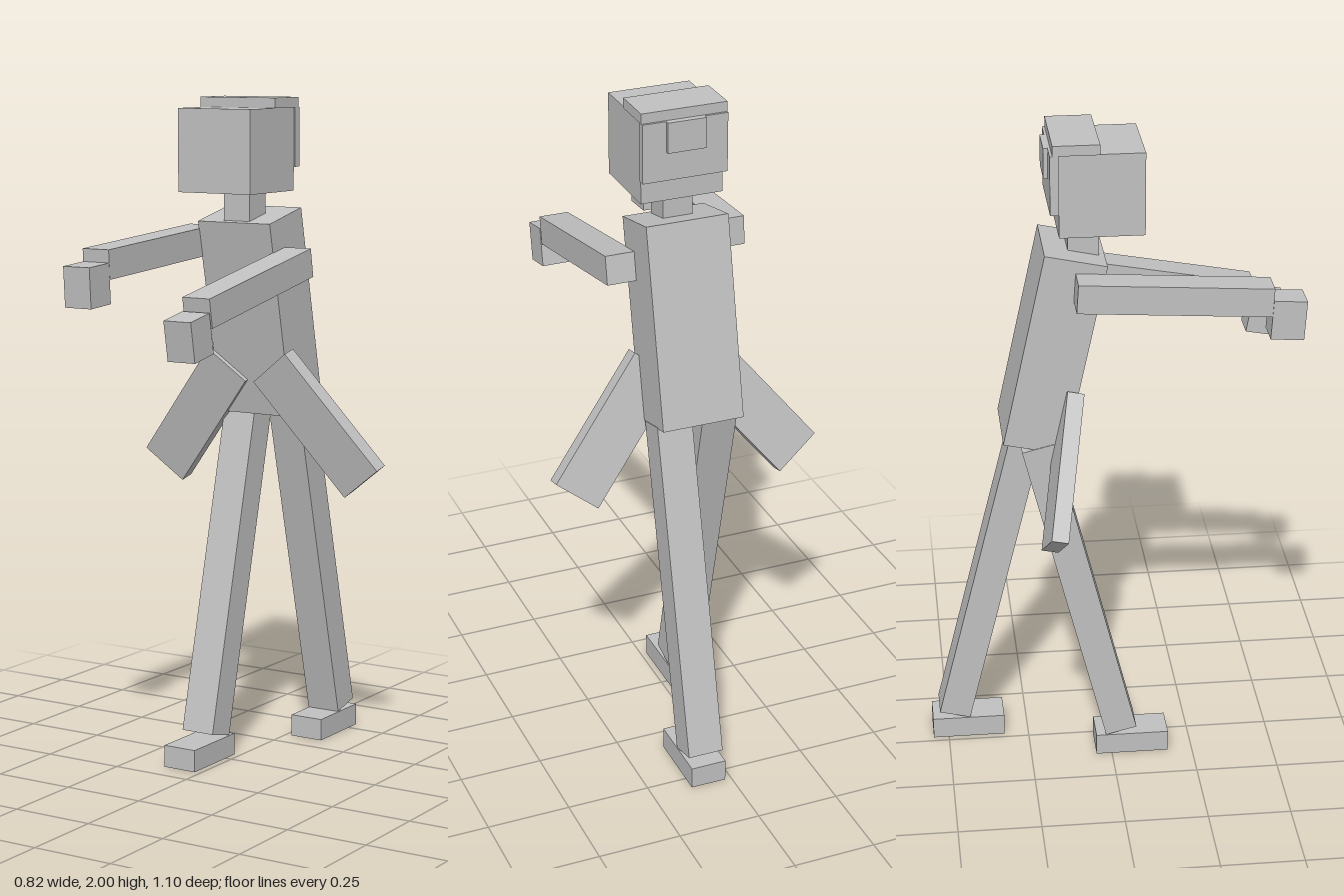
import * as THREE from 'three';

export function createModel() {
  const root = new THREE.Group();
  root.name = 'walkingFigure';
  const grey = new THREE.MeshStandardMaterial({ color: 0xc0c0c0, flatShading: true });
  grey.name = 'plain grey';

  // Box by size and centre, leaning forward by tilt and swung sideways by roll
  function box(name, size, centre, tilt = 0, roll = 0, parent = root) {
    const mesh = new THREE.Mesh(new THREE.BoxGeometry(...size), grey);
    mesh.name = name;
    mesh.position.set(...centre);
    mesh.rotation.set(tilt, 0, roll);
    parent.add(mesh);
    return mesh;
  }
  const deg = THREE.MathUtils.degToRad;
  const lean = deg(12.2);

  // Torso and neck
  box('torso', [0.25, 0.6, 0.184], [0, 1.36, -0.166], lean);
  box('neck', [0.09, 0.13, 0.09], [0, 1.67, -0.075]);

  // Head with hair slabs on the top and back
  const head = new THREE.Group();
  head.name = 'head';
  root.add(head);
  box('skull', [0.248, 0.245, 0.245], [0, 1.8475, -0.028], 0, 0, head);
  box('topHair', [0.258, 0.03, 0.134], [0, 1.985, -0.101], 0, 0, head);
  box('backHair', [0.256, 0.175, 0.025], [0, 1.8825, -0.163], 0, 0, head);
  box('hairKnot', [0.115, 0.09, 0.014], [0, 1.925, -0.181], 0, 0, head);

  // Arms reaching forward, each at its own slope
  const arms = [
    { side: 'left', x: 0.168, tilt: deg(10.3), arm: [1.468, 0.167], hand: [1.354, 0.487] },
    { side: 'right', x: -0.168, tilt: deg(3.6), arm: [1.556, 0.172], hand: [1.482, 0.497] },
  ];
  for (const a of arms) {
    box(a.side + 'Arm', [0.09, 0.086, 0.56], [a.x, ...a.arm], a.tilt);
    box(a.side + 'Hand', [0.09, 0.118, 0.097], [a.x, ...a.hand], a.tilt);
  }

  // Striding legs: the right one forward, the left one back
  const stride = deg(14), legLength = 1.02;
  for (const [side, x, ankleZ, footZ, dir] of [
    ['right', -0.073, 0.029, 0.0635, -1],
    ['left', 0.073, -0.479, -0.4365, 1],
  ]) {
    box(side + 'Leg', [0.108, legLength, 0.097], [
      x,
      0.08 + Math.cos(stride) * legLength / 2,
      ankleZ + dir * Math.sin(stride) * legLength / 2,
    ], dir * stride);
    box(side + 'Foot', [0.108, 0.067, 0.223], [x, 0.0335, footZ]);
  }

  // Coat flaps spreading from the waist
  for (const s of [1, -1]) {
    box(s > 0 ? 'leftCoatFlap' : 'rightCoatFlap', [0.155, 0.443, 0.05],
      [s * 0.213, 1.033, -0.153], lean, s * deg(38.5));
  }
  return root;
}
